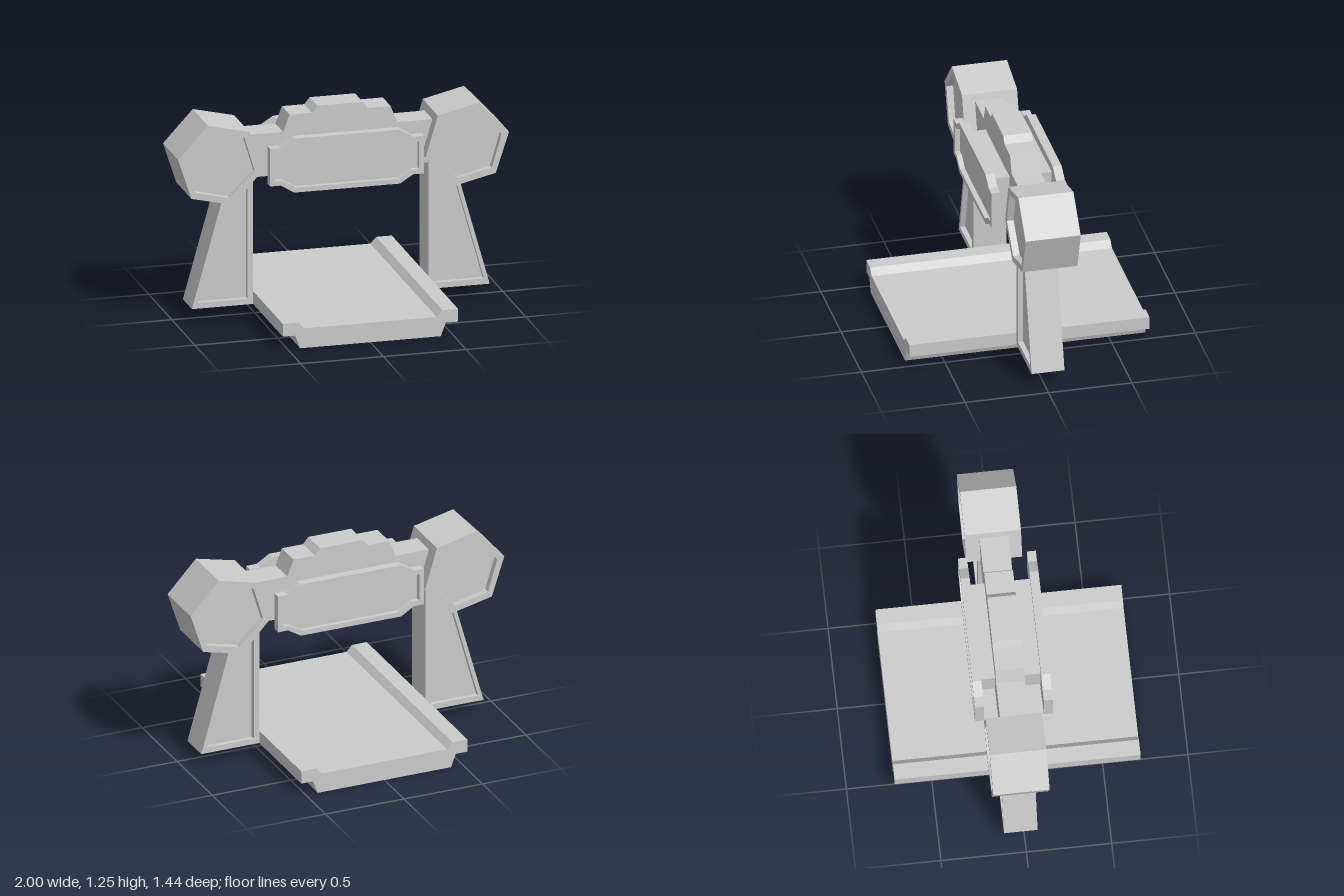
import * as THREE from 'three';

const material = new THREE.MeshStandardMaterial({ color: 0xcccccc, flatShading: true });

// Outlines are [x, y] pairs in counter-clockwise order.
const mirror = (pts) => pts.map(([x, y]) => [-x, y]).reverse();
// Completes a left-right symmetric outline from its right half (bottom to top).
const symmetric = (half) => [...half, ...mirror(half)];

// Joins matching loops with quads and closes both ends.
function loft(loops) {
  const n = loops[0].pts.length;
  const pos = [];
  const put = (loop, i) => pos.push(loop.pts[i % n][0], loop.pts[i % n][1], loop.z);
  const cap = (loop, flip) => {
    const contour = loop.pts.map(([x, y]) => new THREE.Vector2(x, y));
    for (const [a, b, c] of THREE.ShapeUtils.triangulateShape(contour, [])) {
      for (const i of flip ? [a, c, b] : [a, b, c]) put(loop, i);
    }
  };
  cap(loops[0], true);
  for (let k = 0; k < loops.length - 1; k++) {
    const p = loops[k], q = loops[k + 1];
    for (let i = 0; i < n; i++) {
      put(p, i); put(p, i + 1); put(q, i + 1);
      put(p, i); put(q, i + 1); put(q, i);
    }
  }
  cap(loops[loops.length - 1], false);
  const geo = new THREE.BufferGeometry();
  geo.setAttribute('position', new THREE.Float32BufferAttribute(pos, 3));
  geo.computeVertexNormals();
  return geo;
}

// Slab with a recessed panel in the front face and optionally in the back.
function recessed(outer, inner, z0, z1, depth, both = true) {
  const loops = [{ pts: outer, z: z0 }, { pts: outer, z: z1 }, { pts: inner, z: z1 }, { pts: inner, z: z1 - depth }];
  if (both) loops.unshift({ pts: inner, z: z0 + depth }, { pts: inner, z: z0 });
  return loft(loops);
}

const slab = (pts, z0, z1) => loft([{ pts, z: z0 }, { pts, z: z1 }]);

export function createModel() {
  const model = new THREE.Group();
  const add = (name, geometry) => {
    const mesh = new THREE.Mesh(geometry, material);
    mesh.name = name;
    model.add(mesh);
    return mesh;
  };

  // Walkway with raised, overhanging edges
  add('platform', slab(symmetric([
    [0.425, 0], [0.455, 0.08], [0.53, 0.08], [0.53, 0.158], [0.435, 0.158], [0.4, 0.12],
  ]), -0.72, 0.72));

  // Legs and tilted hexagonal heads, one per side
  const legOuter = [[0.53, 0.08], [0.9, 0.08], [0.67, 0.9], [0.53, 0.9]];
  const legInner = [[0.565, 0.115], [0.865, 0.115], [0.655, 0.87], [0.565, 0.87]];
  const hexOuter = [[1, 1.02], [0.82, 1.214], [0.57, 1.155], [0.495, 0.904], [0.67, 0.717], [0.92, 0.775]];
  const hexInner = [[0.955, 1.01], [0.805, 1.171], [0.6, 1.122], [0.537, 0.912], [0.69, 0.76], [0.896, 0.81]];
  for (const [side, place] of [['left', (p) => p], ['right', mirror]]) {
    add(side + 'Leg', recessed(place(legOuter), place(legInner), -0.12, 0.077, 0.03));
    add(side + 'HexagonHead', recessed(place(hexOuter), place(hexInner), -0.193, 0.137, 0.04));
  }

  // Crossbeam with stepped crest
  add('crossbeam', slab(symmetric([
    [0.58, 0.85], [0.58, 1.112], [0.345, 1.112], [0.305, 1.214], [0.17, 1.214], [0.137, 1.254],
  ]), -0.107, 0.062));

  // Sign boards on both faces, held off the beam by mounts
  const signOuter = symmetric([
    [0.32, 0.785], [0.4, 0.835], [0.465, 0.835], [0.465, 1.065], [0.4, 1.065], [0.32, 1.115],
  ]);
  const signInner = symmetric([
    [0.305, 0.815], [0.392, 0.864], [0.435, 0.864], [0.435, 1.034], [0.392, 1.034], [0.305, 1.085],
  ]);
  add('frontSign', recessed(signOuter, signInner, 0.16, 0.213, 0.03, false));
  add('backSign', recessed(signOuter, signInner, 0.19, 0.243, 0.03, false)).rotation.y = Math.PI;
  const mount = symmetric([[0.295, 0.89], [0.295, 1.065]]);
  add('frontSignMount', slab(mount, 0.062, 0.16));
  add('backSignMount', slab(mount, -0.19, -0.107));

  return model;
}
